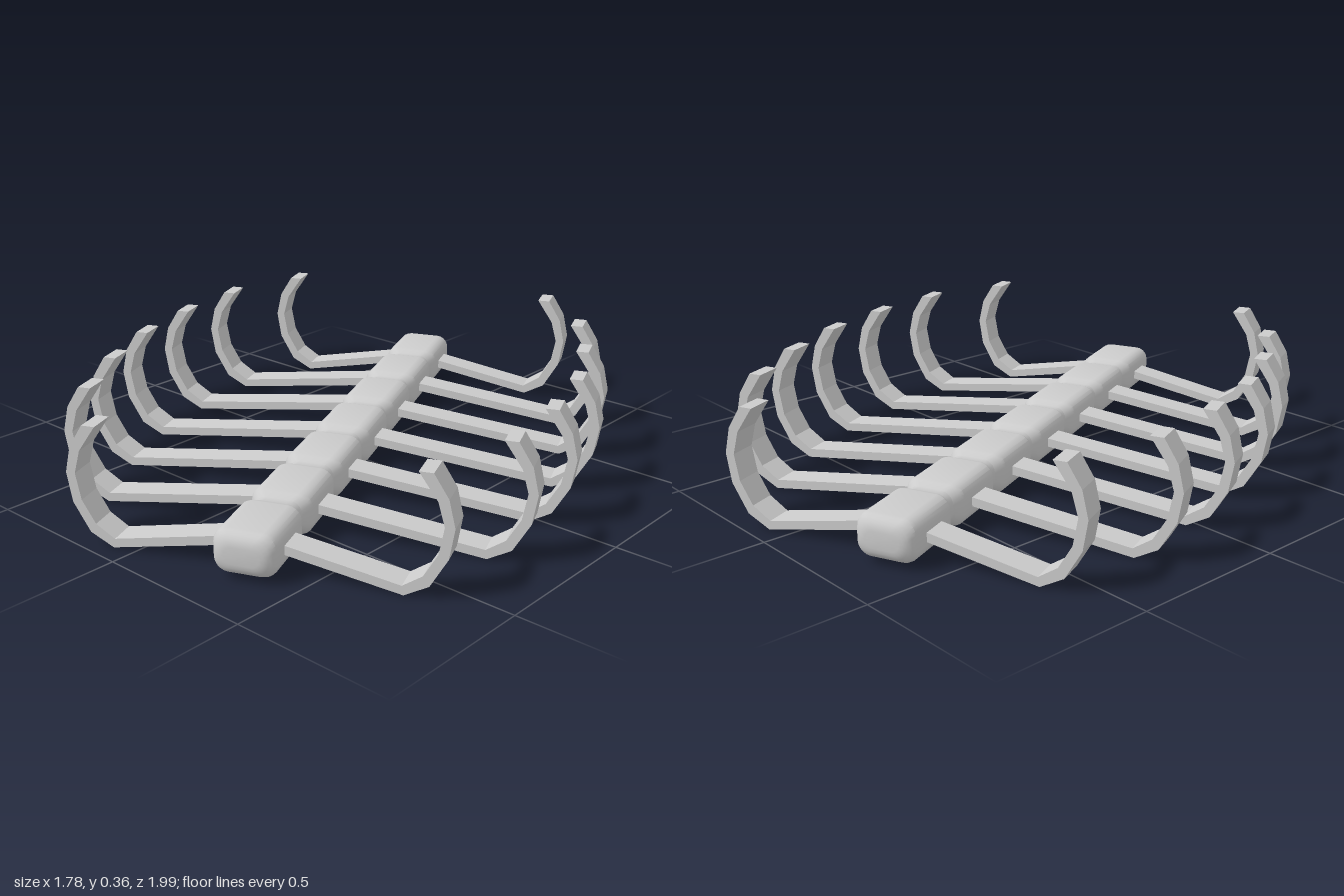
import * as THREE from 'three';
import { toCreasedNormals } from 'three/addons/utils/BufferGeometryUtils.js';

const STEP = 0.267;      // spacing of the vertebrae and ribs
const HALF = 0.925;      // half length of the spine

// Rounded rectangle ring, shrunk by the given insets
function ring(z, insetX, insetY) {
  const w = 0.093 - insetX, h = 0.065 - insetY, r = Math.min(0.042, w, h) * 0.95;
  const pts = [];
  [[1, 1], [-1, 1], [-1, -1], [1, -1]].forEach(([sx, sy], k) => {
    for (let i = 0; i <= 5; i++) {
      const a = (k + i / 5) * Math.PI / 2;
      pts.push([sx * (w - r) + r * Math.cos(a), 0.08 + sy * (h - r) + r * Math.sin(a), z]);
    }
  });
  return pts;
}

// One lofted bar with rounded ends and a groove between vertebrae
function spineGeometry() {
  const rings = [], R = 0.04;
  for (let i = 0; i <= 5; i++) {
    const a = i / 5 * Math.PI / 2, inset = R * (1 - Math.sin(a));
    rings.push(ring(-HALF + R * (1 - Math.cos(a)), inset, inset));
  }
  for (let g = -2.5; g <= 2.5; g++) {
    for (const [dz, ix, iy] of [[-0.045, 0, 0], [-0.034, 0.004, 0.003], [-0.012, 0.019, 0.012],
      [0.012, 0.019, 0.012], [0.034, 0.004, 0.003], [0.045, 0, 0]]) {
      rings.push(ring(g * STEP + dz, ix, iy));
    }
  }
  for (let i = 5; i >= 0; i--) {
    const a = i / 5 * Math.PI / 2, inset = R * (1 - Math.sin(a));
    rings.push(ring(HALF - R * (1 - Math.cos(a)), inset, inset));
  }
  const n = rings[0].length, pos = rings.flat(2), index = [];
  for (let j = 0; j < rings.length - 1; j++) {
    for (let i = 0; i < n; i++) {
      const a = j * n + i, b = j * n + (i + 1) % n;
      index.push(a, b, b + n, a, b + n, a + n);
    }
  }
  // End caps
  const c0 = pos.length / 3, last = (rings.length - 1) * n;
  pos.push(0, 0.08, -HALF, 0, 0.08, HALF);
  for (let i = 0; i < n; i++) {
    const k = (i + 1) % n;
    index.push(c0, k, i, c0 + 1, last + i, last + k);
  }
  const geo = new THREE.BufferGeometry();
  geo.setAttribute('position', new THREE.Float32BufferAttribute(pos, 3));
  geo.setIndex(index);
  return toCreasedNormals(geo, 0.5);
}

// Half rib: a sloping bar that curls up at its outer end
function ribGeometry(reach) {
  const outer = [[0.135, 0], [0.065, 0.038], [0.015, 0.125], [0, 0.215], [0.018, 0.295], [0.06, 0.363]];
  const inner = [[0.1, 0.363], [0.047, 0.285], [0.028, 0.215], [0.043, 0.135], [0.083, 0.066], [0.14, 0.028]];
  const pts = [[0.03, 0.075], [0.093, 0.063]]
    .concat([...outer, ...inner].map(([d, y]) => [reach - d, y]))
    .concat([[0.093, 0.091], [0.03, 0.103]]);
  const shape = new THREE.Shape(pts.map(([x, y]) => new THREE.Vector2(x, y)));
  const width = 0.084;
  return new THREE.ExtrudeGeometry(shape, { depth: width, bevelEnabled: false }).translate(0, 0, -width / 2);
}

export function createModel() {
  const model = new THREE.Group();
  model.name = 'ribcage';
  const mat = new THREE.MeshStandardMaterial({ color: 0xcccccc });

  const spine = new THREE.Mesh(spineGeometry(), mat);
  spine.name = 'spine';
  model.add(spine);

  // Seven pairs of ribs, longest in the middle
  const reach = [0.81, 0.786, 0.725, 0.562];
  for (let i = -3; i <= 3; i++) {
    const geo = ribGeometry(reach[Math.abs(i)]);
    for (const side of ['left', 'right']) {
      const rib = new THREE.Mesh(geo, mat);
      rib.name = side + 'Rib' + (i + 4);
      rib.position.z = i * STEP;
      if (side === 'right') rib.rotation.y = Math.PI;
      model.add(rib);
    }
  }

  // The whole piece lies turned on the ground
  const root = new THREE.Group();
  model.rotation.y = 0.4;
  root.add(model);
  return root;
}
